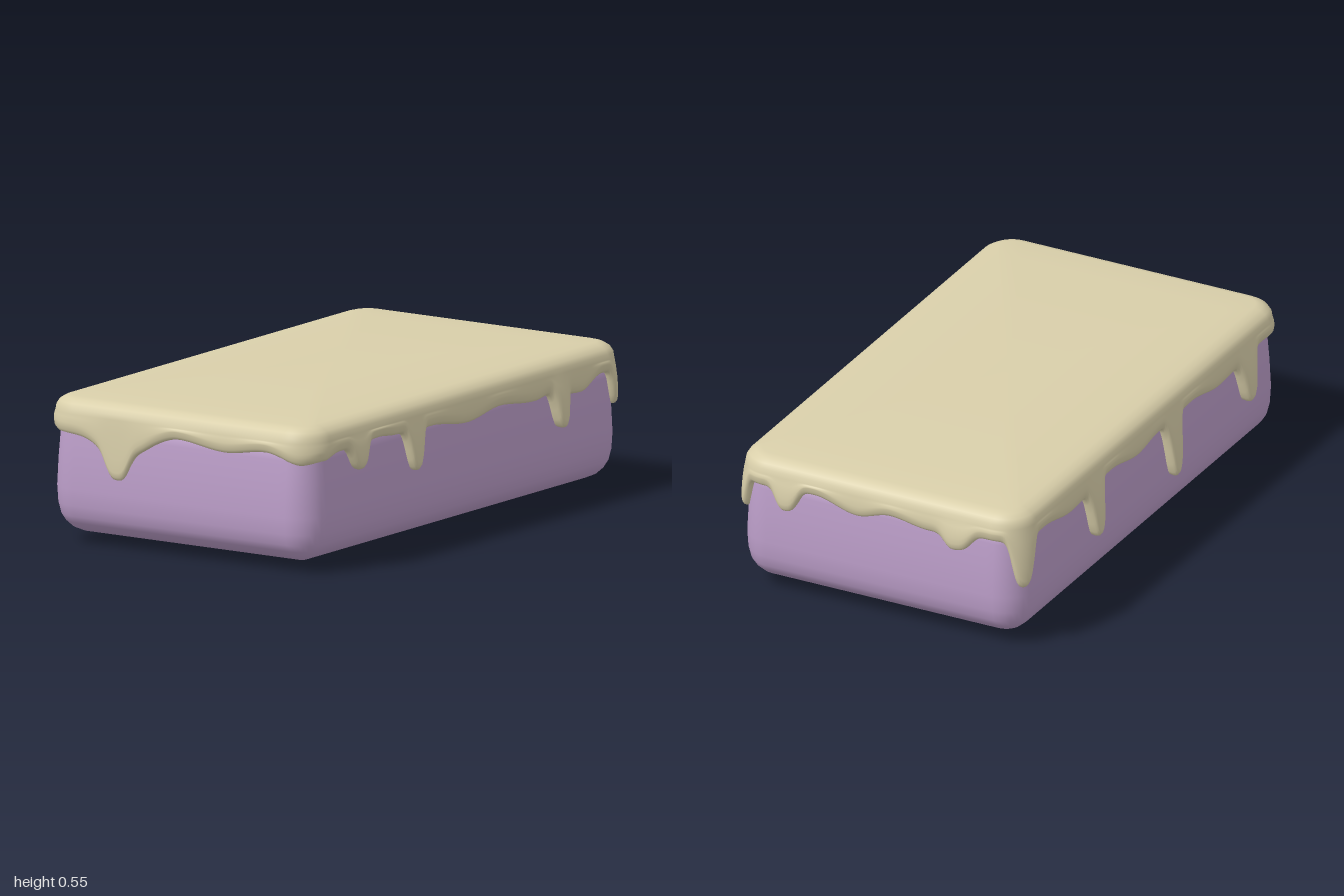
import * as THREE from 'three';

const HW = 0.57, HD = 0.985, R = 0.12;          // half width, half depth, corner radius
const TOTAL = 4 * (HW + HD), COLS = 640;

// Distance round the outline, starting at the front left-hand corner of the plan
const front = x => x + HW;
const right = z => 2 * HW + HD - z;
const back = x => 3 * HW + 2 * HD - x;
const left = z => 4 * HW + 3 * HD + z;

// Rounded-rectangle outline: position of the arc/edge core and its outward normal
function frame(s) {
  s = ((s % TOTAL) + TOTAL) % TOTAL;
  const lens = [2 * HW, 2 * HD, 2 * HW, 2 * HD];
  let k = 0;
  while (k < 3 && s >= lens[k]) s -= lens[k++];
  const half = lens[k] / 2, u = s - half, over = Math.abs(u) - (half - R);
  // Angle swings by 45 degrees towards each end of a side
  const turn = over > 0 ? Math.sign(u) * (over / R) * Math.PI / 4 : 0;
  const a = Math.PI / 2 - k * Math.PI / 2 - turn;
  const c = THREE.MathUtils.clamp(u, -(half - R), half - R);
  const W = HW - R, D = HD - R;
  const [x, z] = [[c, D], [W, -c], [-c, -D], [-W, c]][k];
  return { x, z, nx: Math.cos(a), nz: Math.sin(a) };
}

// Skin through closed rings; profile(s) gives [offset, y, scale] from top to bottom
function skin(profile, cols) {
  const pos = [], index = [];
  let rows = 0;
  for (let i = 0; i < cols; i++) {
    const s = i / cols * TOTAL, f = frame(s), p = profile(s);
    rows = p.length;
    for (const [o, y, k = 1] of p)
      pos.push((f.x + f.nx * (R + o)) * k, y, (f.z + f.nz * (R + o)) * k);
  }
  for (let i = 0; i < cols; i++) for (let j = 0; j < rows - 1; j++) {
    const a = i * rows + j, b = ((i + 1) % cols) * rows + j;
    index.push(a, a + 1, b + 1, a, b + 1, b);
  }
  const g = new THREE.BufferGeometry();
  g.setAttribute('position', new THREE.Float32BufferAttribute(pos, 3));
  g.setIndex(index);
  g.computeVertexNormals();
  return g;
}

// Wavy lower edge of the icing: [distance, height]
const WAVE = [
  [front(-0.5), 0.4], [front(-0.38), 0.395], [front(-0.15), 0.39], [front(0), 0.428], [front(0.2), 0.405],
  [front(0.37), 0.425], [front(0.54), 0.39],
  [right(0.9), 0.4], [right(0.8), 0.42], [right(0.55), 0.43], [right(0.43), 0.42], [right(0.22), 0.415],
  [right(0), 0.39], [right(-0.2), 0.415], [right(-0.42), 0.395], [right(-0.5), 0.405],
  [right(-0.7), 0.38], [right(-0.83), 0.425],
  [back(0.5), 0.42], [back(0.25), 0.43], [back(0.08), 0.39], [back(-0.05), 0.42], [back(-0.2), 0.4],
  [back(-0.42), 0.42],
  [left(-0.8), 0.42], [left(-0.6), 0.39], [left(-0.3), 0.42], [left(-0.1), 0.39], [left(0.05), 0.41],
  [left(0.3), 0.42], [left(0.5), 0.39], [left(0.82), 0.42],
];
// Drips: distance, half width, depth, outward bulge
const DRIPS = [
  [front(-0.255), 0.055, 0.09, 0], [front(-0.25), 0.11, 0.05, 0],
  [right(0.68), 0.05, 0.085, 0.015], [right(0.335), 0.045, 0.14, 0.016],
  [right(-0.565), 0.042, 0.12, 0.024], [right(-0.95), 0.05, 0.12, 0.008],
  [back(0.36), 0.05, 0.08, 0.01], [back(-0.32), 0.06, 0.055, 0.012],
  [left(-0.95), 0.06, 0.18, 0.012],
  [left(-0.43), 0.045, 0.18, 0.027], [left(0.15), 0.045, 0.21, 0.025], [left(0.7), 0.05, 0.16, 0.027],
];

function wave(s) {
  const n = WAVE.length;
  let i = WAVE.findIndex(w => w[0] > s);
  if (i < 0) i = 0;
  const [s0, y0] = WAVE[(i + n - 1) % n], [s1, y1] = WAVE[i];
  const t = ((s - s0 + TOTAL) % TOTAL) / ((s1 - s0 + TOTAL) % TOTAL);
  return y0 + (y1 - y0) * t * t * (3 - 2 * t);
}

function icingProfile(s) {
  let yb = wave(s), lip = 0.006;
  for (const [c, w, depth, bulge] of DRIPS) {
    let d = Math.abs(s - c);
    d = Math.min(d, TOTAL - d);
    const k = Math.exp(-Math.pow(d / w, 3));
    yb -= depth * k;
    lip += bulge * k;
  }
  const p = [
    [-0.06, 0.545, 0], [-0.06, 0.543, 0.35], [-0.06, 0.538, 0.65], [-0.06, 0.531, 0.88],
    [-0.06, 0.525], [-0.035, 0.518], [-0.014, 0.505], [-0.003, 0.488], [0, 0.47],
  ];
  // Side runs down, swelling towards a rounded lip
  const yl = yb + 0.03;
  for (const t of [0.25, 0.5, 0.75, 1]) p.push([lip * t * (2 - t), 0.47 + (yl - 0.47) * t]);
  p.push([lip - 0.003, yb + 0.013], [lip - 0.01, yb + 0.003], [lip - 0.02, yb], [-0.05, yb + 0.008]);
  return p;
}

// Soft cushioned block, from its covered top to its shallow domed base
const BODY = [
  [-0.08, 0.49, 0], [-0.08, 0.49], [-0.03, 0.46], [-0.019, 0.4], [-0.011, 0.3], [-0.006, 0.2],
  [-0.01, 0.14], [-0.02, 0.1], [-0.036, 0.075], [-0.062, 0.052], [-0.1, 0.036],
  [-0.1, 0.022, 0.78], [-0.1, 0.011, 0.45], [-0.1, 0, 0],
];

export function createModel() {
  const lilac = new THREE.MeshStandardMaterial({ color: 0xbc9ec9 });
  lilac.name = 'lilac';
  const cream = new THREE.MeshStandardMaterial({ color: 0xd9cfaa });
  cream.name = 'cream';

  const group = new THREE.Group();
  group.name = 'icedCake';
  const body = new THREE.Mesh(skin(() => BODY, 200), lilac);
  body.name = 'cakeBody';
  const icing = new THREE.Mesh(skin(icingProfile, COLS), cream);
  icing.name = 'drippingIcing';
  group.add(body, icing);
  return group;
}
